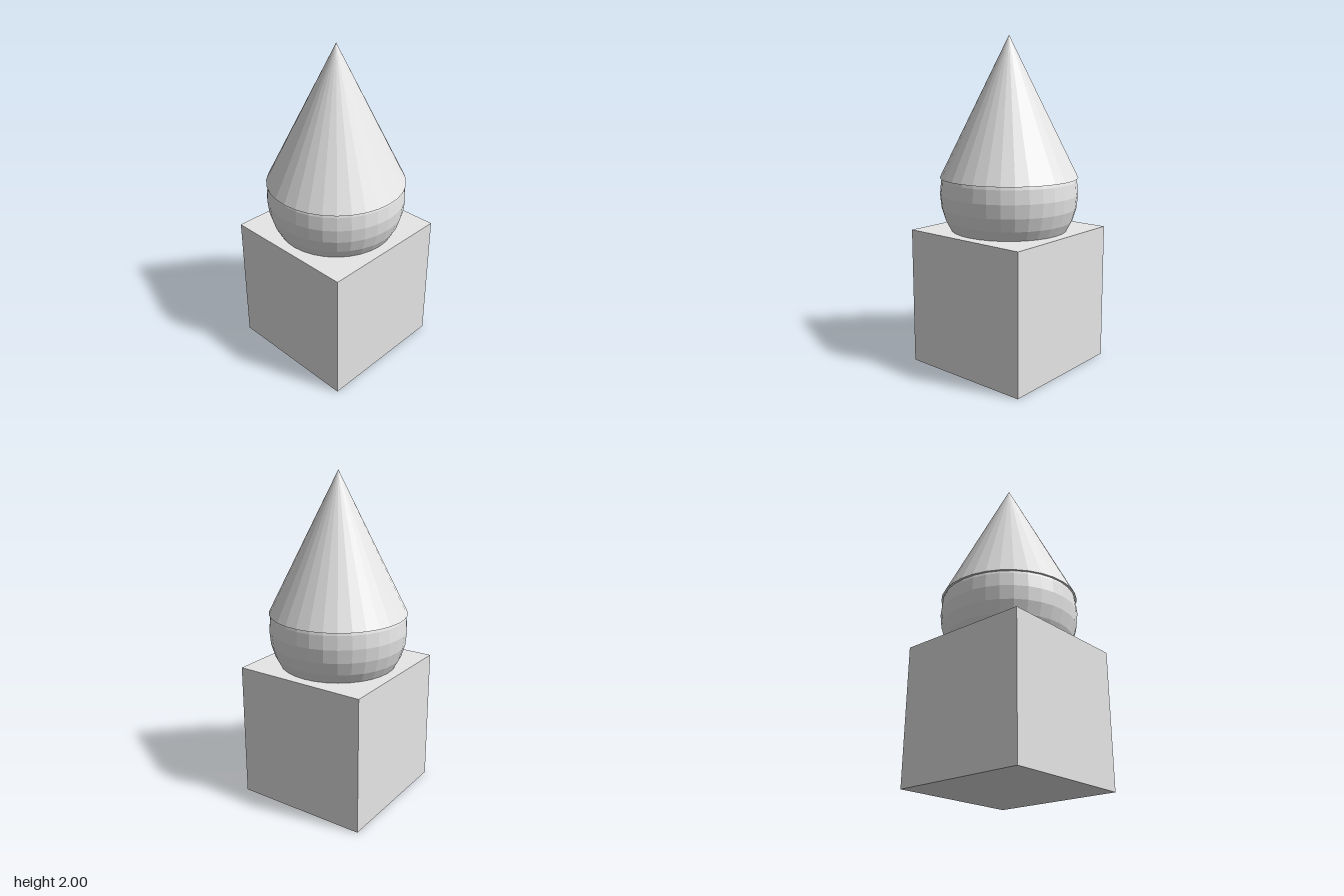
import * as THREE from 'three';

export function createModel() {
  const model = new THREE.Group();
  const grey = new THREE.MeshStandardMaterial({ color: 0xe7e7e7, flatShading: true });
  grey.name = 'light grey';

  const R = 0.42; // shared half-width of all three parts
  const add = (name, geometry, y) => {
    const mesh = new THREE.Mesh(geometry, grey);
    mesh.name = name;
    mesh.position.y = y;
    model.add(mesh);
  };

  // Cube at the bottom, ball sunk into it, cone over the ball
  add('baseBlock', new THREE.BoxGeometry(2 * R, 2 * R, 2 * R), R);
  add('ball', new THREE.SphereGeometry(R, 32, 16), 1.06);
  add('coneCap', new THREE.ConeGeometry(R, 2 * R, 32), 2 - R);

  return model;
}
